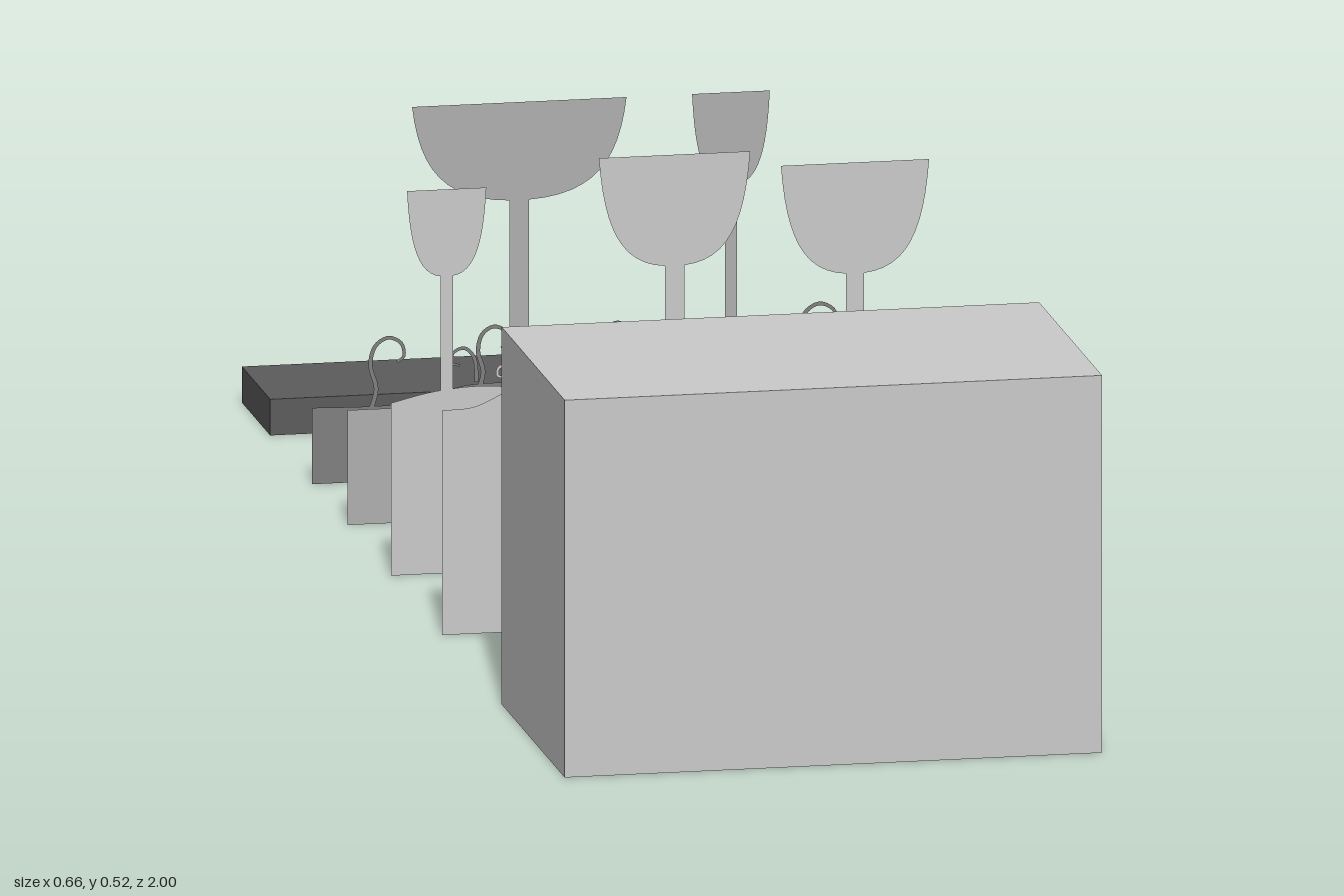
import * as THREE from 'three';

const HALF = 0.332; // half width shared by all layers

function material(color, side = THREE.FrontSide) {
  return new THREE.MeshStandardMaterial({ color, side });
}

function block(name, height, zBack, zFront, color) {
  const mesh = new THREE.Mesh(
    new THREE.BoxGeometry(HALF * 2, height, zFront - zBack), material(color));
  mesh.position.set(0, height / 2, (zBack + zFront) / 2);
  mesh.name = name;
  return mesh;
}

// Flat strip with a smooth upper edge
function stripShape(top) {
  const points = top.map(([x, y]) => new THREE.Vector2(x, y));
  const shape = new THREE.Shape();
  shape.moveTo(HALF, 0);
  shape.lineTo(points[0].x, points[0].y);
  shape.splineThru(points.slice(1));
  shape.lineTo(-HALF, 0);
  shape.closePath();
  return shape;
}

// Flat tree: flat-topped rounded crown on a thin straight trunk
function treeShape({ x, top, width, depth, trunk }, base) {
  const w = width / 2, t = trunk / 2, low = top - depth;
  const shape = new THREE.Shape();
  shape.moveTo(x - w, top);
  shape.bezierCurveTo(x - w * 0.93, top - depth * 0.65, x - w * 0.7, low + depth * 0.03, x - t, low);
  shape.lineTo(x - t, base);
  shape.lineTo(x + t, base);
  shape.lineTo(x + t, low);
  shape.bezierCurveTo(x + w * 0.7, low + depth * 0.03, x + w * 0.93, top - depth * 0.65, x + w, top);
  shape.closePath();
  return shape;
}

// Thin flat ribbon following a curve
function ribbonShape(path, x, y, sx, sy, thickness) {
  const curve = new THREE.SplineCurve(path.map(([a, b]) => new THREE.Vector2(x + a * sx, y + b * sy)));
  const left = [], right = [], n = 28;
  for (let i = 0; i <= n; i++) {
    const p = curve.getPoint(i / n), d = curve.getTangent(i / n);
    const h = thickness / 2 * (1 - 0.4 * i / n);
    left.push(new THREE.Vector2(p.x - d.y * h, p.y + d.x * h));
    right.unshift(new THREE.Vector2(p.x + d.y * h, p.y - d.x * h));
  }
  return new THREE.Shape([...left, ...right]);
}

// Curl outlines in unit size, drawn from the ground up
const hook = [[0, 0], [0.08, 0.3], [0, 0.62], [0.06, 0.88], [0.24, 1], [0.42, 0.92], [0.46, 0.74], [0.36, 0.66]];
const sideCurl = [[0.02, 0.15], [0.05, 0.5], [0.2, 0.68], [0.38, 0.62], [0.4, 0.46], [0.28, 0.42]];

const layers = [
  {
    name: 'frontHills', z: 0.24, color: 0xcccccc,
    top: [[0.332, 0.28], [0.27, 0.31], [0.22, 0.33], [0.185, 0.332], [0.15, 0.325], [0.1, 0.295],
      [0.05, 0.275], [-0.01, 0.265], [-0.07, 0.275], [-0.13, 0.3], [-0.19, 0.315], [-0.24, 0.305],
      [-0.29, 0.283], [-0.332, 0.28]],
    trees: [], curls: [],
  },
  {
    name: 'middleHills', z: -0.077, color: 0xcccccc,
    top: [[0.332, 0.213], [0.2, 0.211], [0.079, 0.208], [0, 0.195], [-0.06, 0.197], [-0.128, 0.213],
      [-0.2, 0.23], [-0.27, 0.228], [-0.332, 0.215]],
    trees: [
      { x: -0.263, top: 0.478, width: 0.098, depth: 0.108, trunk: 0.015 },
      { x: 0.0185, top: 0.508, width: 0.187, depth: 0.138, trunk: 0.024 },
      { x: 0.2415, top: 0.488, width: 0.183, depth: 0.138, trunk: 0.022 },
    ],
    curls: [
      { x: -0.18, y: 0.222, sx: 0.05, sy: 0.055, double: true },
      { x: 0.06, y: 0.203, sx: 0.07, sy: 0.095, double: true },
    ],
  },
  {
    name: 'backHills', z: -0.347, color: 0xb0b0b0,
    top: [[0.332, 0.143], [0, 0.143], [-0.332, 0.143]],
    trees: [
      { x: -0.1195, top: 0.517, width: 0.265, depth: 0.122, trunk: 0.024 },
      { x: 0.142, top: 0.517, width: 0.096, depth: 0.115, trunk: 0.015 },
    ],
    curls: [{ x: 0.225, y: 0.14, sx: -0.08, sy: 0.08, double: true }],
  },
  {
    name: 'rearHills', z: -0.565, color: 0x808080,
    top: [[0.332, 0.11], [0.22, 0.1], [0.085, 0.088], [-0.025, 0.11], [-0.135, 0.115],
      [-0.22, 0.095], [-0.332, 0.095]],
    trees: [],
    curls: [
      { x: 0.27, y: 0.1, sx: 0.1, sy: 0.1 },
      { x: 0.065, y: 0.088, sx: -0.08, sy: 0.1, double: true },
      { x: -0.127, y: 0.11, sx: 0.08, sy: 0.08, double: true },
      { x: -0.26, y: 0.092, sx: 0.09, sy: 0.09 },
    ],
  },
];

function buildLayer({ name, z, color, top, trees, curls }) {
  const group = new THREE.Group();
  group.name = name;
  group.position.z = z;
  const mat = material(color, THREE.DoubleSide);
  const add = (shape, partName) => {
    const mesh = new THREE.Mesh(new THREE.ShapeGeometry(shape, 12), mat);
    mesh.name = partName;
    group.add(mesh);
  };
  add(stripShape(top), 'hillStrip');
  const base = Math.min(...top.map((p) => p[1])) - 0.01;
  trees.forEach((tree) => add(treeShape(tree, base), 'tree'));
  curls.forEach(({ x, y, sx, sy, double }) => {
    add(ribbonShape(hook, x, y - 0.004, sx, sy, 0.006), 'curledSprout');
    if (double) add(ribbonShape(sideCurl, x, y - 0.004, -sx, sy, 0.005), 'curledSproutBranch');
  });
  return group;
}

export function createModel() {
  const model = new THREE.Group();
  model.name = 'layeredLandscape';
  model.add(block('frontBlock', 0.47, 0.61, 1, 0xcccccc));
  layers.forEach((layer) => model.add(buildLayer(layer)));
  model.add(block('rearSlab', 0.045, -1, -0.825, 0x5c5c5c));
  return model;
}
